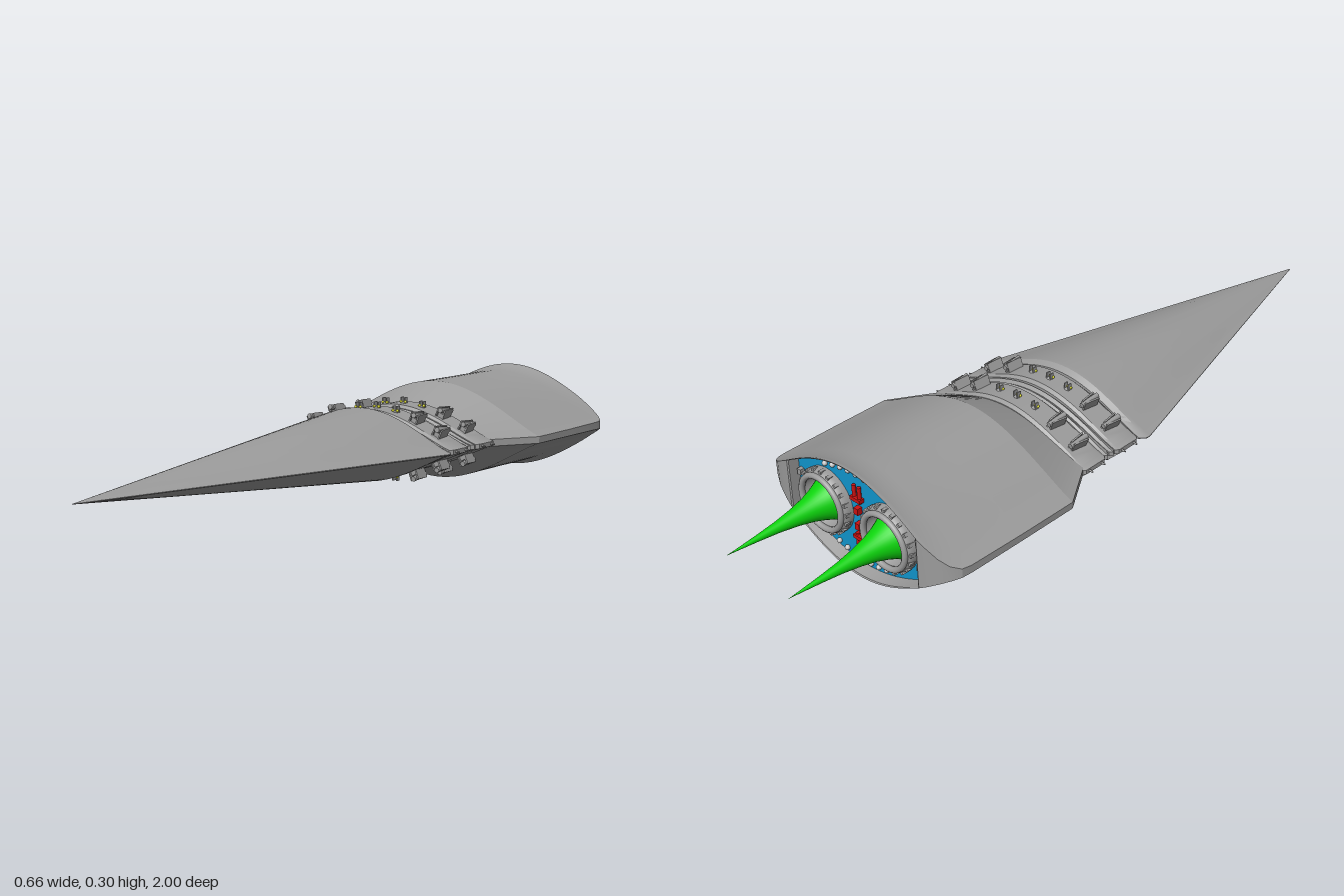
import * as THREE from 'three';
import { toCreasedNormals } from 'three/addons/utils/BufferGeometryUtils.js';

const CY = 0.152; // height of the centre line
const paint = (color) => new THREE.MeshStandardMaterial({ color, side: THREE.DoubleSide });
const grey = paint(0xcccccc), steel = paint(0x9b9b9b), green = paint(0x0cd60c);
const blue = paint(0x1094cc), red = paint(0xcc1111), yellow = paint(0xdddd22);

// Half height of the lens-shaped section at x; "full" is its uncut half width, "blunt" its edge.
function lensY(x, full, h, blunt = 0.006) {
  const edge = Math.min(blunt, h);
  const c = Math.max(0, Math.cos(Math.PI / 2 * Math.min(1, Math.abs(x) / full)));
  return edge + (h - edge) * Math.pow(c, 1.15);
}

// Skin through sections [z, half width, half height, uncut half width], front to back.
function loft(sections, blunt) {
  const n = 33, pos = [], idx = [];
  for (const [z, w, h, full = w] of sections) {
    for (let k = 0; k < 2 * n; k++) {
      const top = k < n, t = top ? k : 2 * n - 1 - k;
      const x = w * (1 - 2 * t / (n - 1));
      pos.push(x, CY + (top ? 1 : -1) * lensY(x, full, h, blunt), z);
    }
  }
  const m = 2 * n;
  for (let i = 0; i < sections.length - 1; i++) {
    for (let j = 0; j < m; j++) {
      const a = i * m + j, b = i * m + (j + 1) % m;
      idx.push(a, a + m, b, a + m, b + m, b);
    }
  }
  const g = new THREE.BufferGeometry();
  g.setAttribute('position', new THREE.Float32BufferAttribute(pos, 3));
  g.setIndex(idx);
  return toCreasedNormals(g, 0.45);
}

function add(parent, name, geo, mat, x = 0, y = 0, z = 0) {
  const mesh = new THREE.Mesh(geo, mat);
  mesh.name = name;
  mesh.position.set(x, y, z);
  parent.add(mesh);
  return mesh;
}

// Closed lens-shaped slab with slightly bevelled rims
function band(z0, z1, w, h) {
  const e = 0.008;
  return loft([
    [z0, w - e, 0], [z0, w - e, h - e], [z0 - e, w, h],
    [z1 + e, w, h], [z1, w - e, h - e], [z1, w - e, 0],
  ], 0.006);
}

// Clamp with a tilted barrel between two splayed fins
function makeClamp() {
  const g = new THREE.Group();
  g.name = 'clamp';
  const barrel = add(g, 'clampBarrel', new THREE.CylinderGeometry(0.007, 0.007, 0.056, 10), steel, 0, 0.018);
  barrel.rotation.x = Math.PI / 2 - 0.12;
  for (const s of [-1, 1]) {
    const fin = add(g, 'clampFin', new THREE.BoxGeometry(0.004, 0.026, 0.046), steel, s * 0.008, 0.012);
    fin.rotation.y = s * 0.12;
    add(g, 'clampFoot', new THREE.BoxGeometry(0.014, 0.014, 0.008), steel, 0, 0.005, s * 0.016);
  }
  return g;
}

// Flat stud between two small posts, with a lamp at the foot of each post
function makeLamp() {
  const g = new THREE.Group();
  g.name = 'lamp';
  const stud = add(g, 'lampStud', new THREE.SphereGeometry(0.009, 12, 8), steel);
  stud.scale.y = 0.4;
  for (const s of [-1, 1]) {
    add(g, 'lampPost', new THREE.BoxGeometry(0.003, 0.02, 0.012), steel, s * 0.006, 0.006);
    add(g, 'lampBulb', new THREE.SphereGeometry(0.004, 8, 6), yellow, s * 0.007, 0.004, 0.004);
  }
  return g;
}

// Clamps and lamps over the upper half of both bands
function makeFittings() {
  const g = new THREE.Group();
  g.name = 'bandFittings';
  const W = 0.264, H = 0.089;
  for (const z of [-0.06, -0.18]) {
    for (const x of [-0.061, 0, 0.061]) {
      const lamp = makeLamp();
      lamp.position.set(x, lensY(x, W, H), z);
      g.add(lamp);
    }
    for (const x of [-0.2, -0.129, 0.129, 0.2]) {
      const clamp = makeClamp();
      clamp.position.set(x, lensY(x, W, H), z);
      clamp.rotation.z = Math.atan((lensY(x + 0.01, W, H) - lensY(x - 0.01, W, H)) / 0.02);
      g.add(clamp);
    }
  }
  return g;
}

// Engine with rim, nozzle, bolts and flame; its axis runs along local y
function makeEngine() {
  const g = new THREE.Group();
  g.name = 'engine';
  const v = (r, y) => new THREE.Vector2(r, y);
  add(g, 'nozzle', new THREE.LatheGeometry([
    v(0.084, -0.012), v(0.086, 0.012), v(0.08, 0.024), v(0.072, 0.028),
    v(0.064, 0.022), v(0.06, 0.006), v(0.045, -0.004), v(0, -0.004),
  ], 40), steel);
  const rim = add(g, 'nozzleRim', new THREE.TorusGeometry(0.071, 0.008, 10, 40), steel, 0, 0.027);
  rim.rotation.x = Math.PI / 2;
  for (let i = 0; i < 20; i++) {
    const a = i / 20 * Math.PI * 2;
    const bolt = add(g, 'nozzleBolt', new THREE.BoxGeometry(0.008, 0.014, 0.009), steel,
      0.083 * Math.cos(a), 0.016, 0.083 * Math.sin(a));
    bolt.rotation.y = -a;
  }
  add(g, 'flame', new THREE.LatheGeometry([
    v(0.058, -0.003), v(0.05, 0.014), v(0.041, 0.035), v(0.031, 0.065), v(0.022, 0.105),
    v(0.014, 0.155), v(0.008, 0.21), v(0.003, 0.265), v(0, 0.3),
  ], 32), green);
  return g;
}

export function createModel() {
  const model = new THREE.Group();
  model.name = 'spacecraft';

  // Long pointed nose with sharp side edges
  add(model, 'nose', loft([
    [1, 0.0005, 0.0005], [0.5, 0.139, 0.0485], [0.012, 0.275, 0.095],
    [0, 0.275, 0.095], [-0.015, 0.262, 0.085], [-0.015, 0.262, 0],
  ], 0.001), steel);

  // Neck core, two bands and the ribs between them
  add(model, 'neckCore', band(0, -0.24, 0.246, 0.072), steel);
  for (const z of [-0.06, -0.18]) add(model, 'neckBand', band(z + 0.041, z - 0.041, 0.264, 0.089), steel);
  for (const z of [-0.11, -0.13]) add(model, 'neckRib', band(z + 0.008, z - 0.008, 0.26, 0.082), steel);

  // Fittings above, and turned over for the underside
  for (const turn of [0, Math.PI]) {
    const fittings = makeFittings();
    fittings.position.y = CY;
    fittings.rotation.z = turn;
    model.add(fittings);
  }

  // Pegs on the side edges of the bands
  for (const s of [-1, 1]) {
    for (const z of [-0.038, -0.082, -0.158, -0.202]) {
      const peg = add(model, 'sidePeg', new THREE.CylinderGeometry(0.002, 0.005, 0.03, 8), steel, s * 0.26, CY, z);
      peg.rotation.z = -s * Math.PI / 2;
    }
  }

  // Rear hull: shoulder, then body with flared tail, rounded corners and recess walls
  add(model, 'hullShoulder', loft([
    [-0.215, 0.255, 0], [-0.215, 0.255, 0.076], [-0.335, 0.33, 0.134],
  ], 0.009), steel);
  add(model, 'hullBody', loft([
    [-0.335, 0.33, 0.134], [-0.5, 0.329, 0.134, 0.33], [-0.66, 0.326, 0.135, 0.33],
    [-0.685, 0.322, 0.138, 0.33], [-0.705, 0.305, 0.142, 0.33], [-0.718, 0.28, 0.146, 0.33],
    [-0.726, 0.25, 0.149, 0.33], [-0.73, 0.225, 0.149, 0.33], [-0.728, 0.221, 0.145, 0.33],
    [-0.7, 0.219, 0.135, 0.33],
  ], 0.009), steel);
  add(model, 'rearPanel', loft([[-0.7, 0.219, 0.135, 0.33], [-0.7, 0.219, 0, 0.33]], 0.009), blue);

  // Twin engines
  for (const x of [-0.11, 0.11]) {
    const engine = makeEngine();
    engine.position.set(x, CY, -0.7);
    engine.rotation.x = -Math.PI / 2;
    model.add(engine);
  }

  // Pipes and fittings on the rear panel
  for (const s of [-1, 1]) {
    add(model, 'redPipe', new THREE.CylinderGeometry(0.005, 0.005, 0.045, 10), red, s * 0.009, CY + 0.068, -0.706);
    add(model, 'redPipe', new THREE.CylinderGeometry(0.005, 0.005, 0.045, 10), red, s * 0.009, CY - 0.068, -0.706);
    add(model, 'redValve', new THREE.BoxGeometry(0.034, 0.01, 0.014), red, 0, CY + s * 0.055, -0.707);
    add(model, 'redValve', new THREE.BoxGeometry(0.014, 0.018, 0.014), red, 0, CY + s * 0.022, -0.707);
    for (let i = -4; i <= 4; i++) {
      const x = i * 0.028;
      add(model, 'panelStud', new THREE.SphereGeometry(0.007, 8, 6), grey,
        x, CY + s * (lensY(x, 0.33, 0.135) - 0.014), -0.704);
    }
    for (const y of [-0.035, 0.035]) {
      add(model, 'panelBox', new THREE.BoxGeometry(0.012, 0.016, 0.014), steel, s * 0.206, CY + y, -0.705);
    }
  }
  return model;
}
